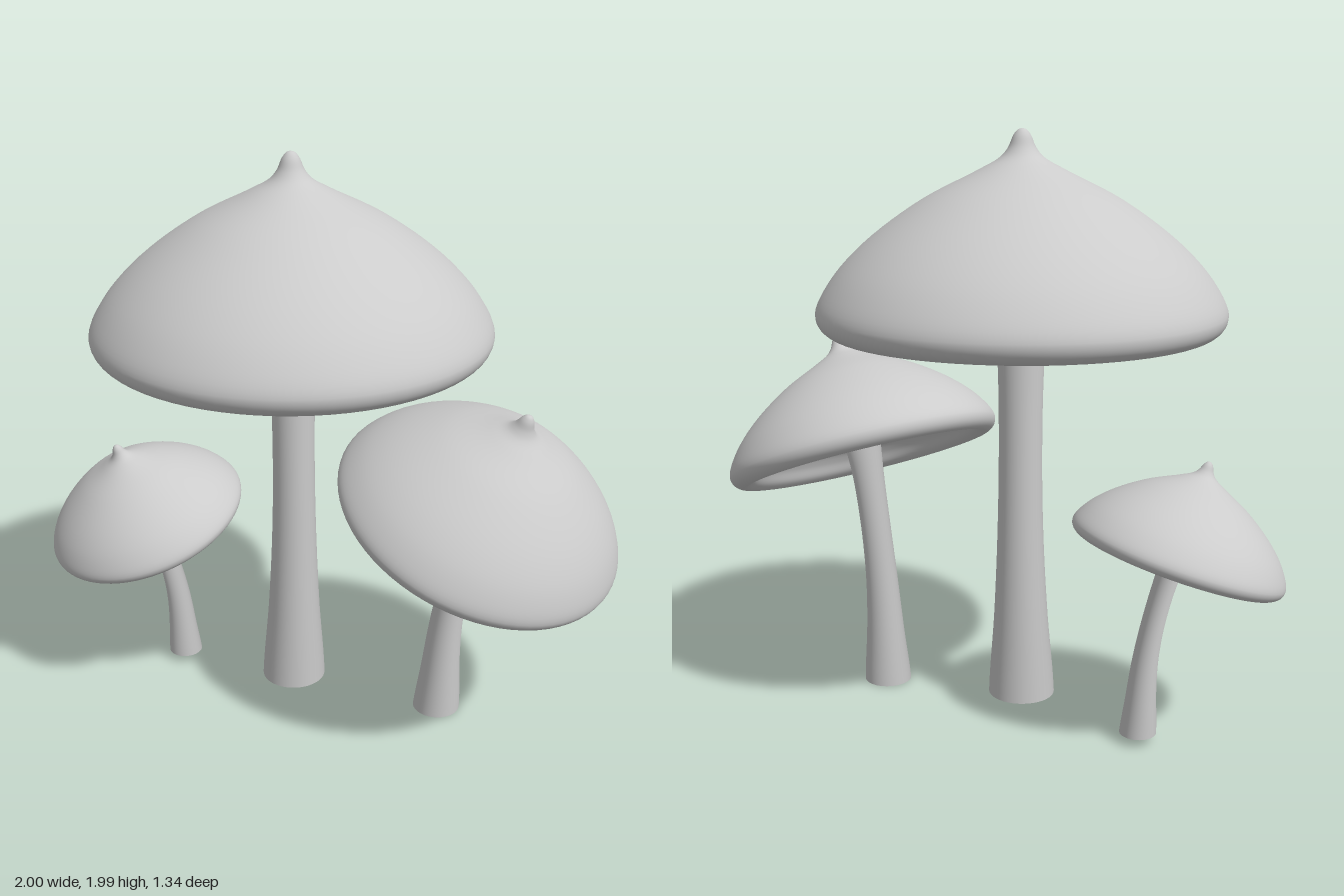
import * as THREE from 'three';

const material = new THREE.MeshStandardMaterial({ color: 0xcccccc, roughness: 0.8 });

// Cap half-section: from the middle of the hollow, over the lip, up to the nub
const capPoints = [
  [0, 0.12], [0.1, 0.13], [0.3, 0.135], [0.46, 0.12], [0.52, 0.075], [0.565, 0.02],
  [0.615, 0], [0.657, 0.025], [0.67, 0.07], [0.62, 0.17], [0.51, 0.29], [0.325, 0.425],
  [0.14, 0.52], [0.07, 0.56], [0.045, 0.59], [0.028, 0.628], [0.014, 0.645], [0, 0.65],
];
const stemRadii = [0.114, 0.092, 0.078, 0.073, 0.078, 0.1];

function makeCap() {
  const curve = new THREE.CatmullRomCurve3(capPoints.map(([r, y]) => new THREE.Vector3(r, y, 0)));
  const profile = curve.getPoints(102).map((p) => new THREE.Vector2(Math.max(0, p.x), p.y));
  profile[0].x = profile[profile.length - 1].x = 0;
  return new THREE.LatheGeometry(profile, 72);
}

// Tapered stem: level rings that follow a bent path
function makeStem(path, scale) {
  const curve = new THREE.CatmullRomCurve3(path.map((p) => new THREE.Vector3(...p)));
  const radius = new THREE.SplineCurve(stemRadii.map((r, i) => new THREE.Vector2(i, r)));
  const geometry = new THREE.CylinderGeometry(1, 1, 1, 40, 32);
  const pos = geometry.attributes.position;
  for (let i = 0; i < pos.count; i++) {
    const t = THREE.MathUtils.clamp(pos.getY(i) + 0.5, 0, 1);
    const c = curve.getPointAt(t);
    const r = radius.getPoint(t).y * scale;
    pos.setXYZ(i, c.x + pos.getX(i) * r, c.y, c.z + pos.getZ(i) * r);
  }
  return geometry;
}

// base: middle of the cap opening; up: direction the cap points; path: stem below the cap
function makeMushroom(name, { base, up, scale, path }) {
  const group = new THREE.Group();
  group.name = name;
  const origin = new THREE.Vector3(...base);
  const axis = new THREE.Vector3(...up).normalize();

  const cap = new THREE.Mesh(makeCap(), material);
  cap.name = 'cap';
  cap.position.copy(origin);
  cap.quaternion.setFromUnitVectors(new THREE.Vector3(0, 1, 0), axis);
  cap.scale.setScalar(scale);

  // The stem ends inside the flesh of the cap
  const top = origin.clone().addScaledVector(axis, 0.2 * scale);
  const stem = new THREE.Mesh(makeStem([...path, top.toArray()], scale), material);
  stem.name = 'stem';

  group.add(cap, stem);
  return group;
}

export function createModel() {
  const model = new THREE.Group();
  model.name = 'mushrooms';
  model.add(
    makeMushroom('tallMushroom', {
      base: [-0.125, 1.335, 0], up: [0, 1, 0], scale: 1,
      path: [[-0.125, 0.055, 0.01], [-0.125, 0.7, 0]],
    }),
    makeMushroom('leftMushroom', {
      base: [0.517, 0.798, -0.13], up: [0.395, 0.917, 0.06], scale: 0.734,
      path: [[0.385, 0, -0.163], [0.42, 0.4, -0.157], [0.505, 0.77, -0.14]],
    }),
    makeMushroom('rightMushroom', {
      base: [-0.642, 0.61, 0.18], up: [-0.14, 0.94, 0.3], scale: 0.537,
      path: [[-0.587, 0.03, 0.079], [-0.597, 0.3, 0.1], [-0.62, 0.51, 0.145]],
    }),
  );
  return model;
}
